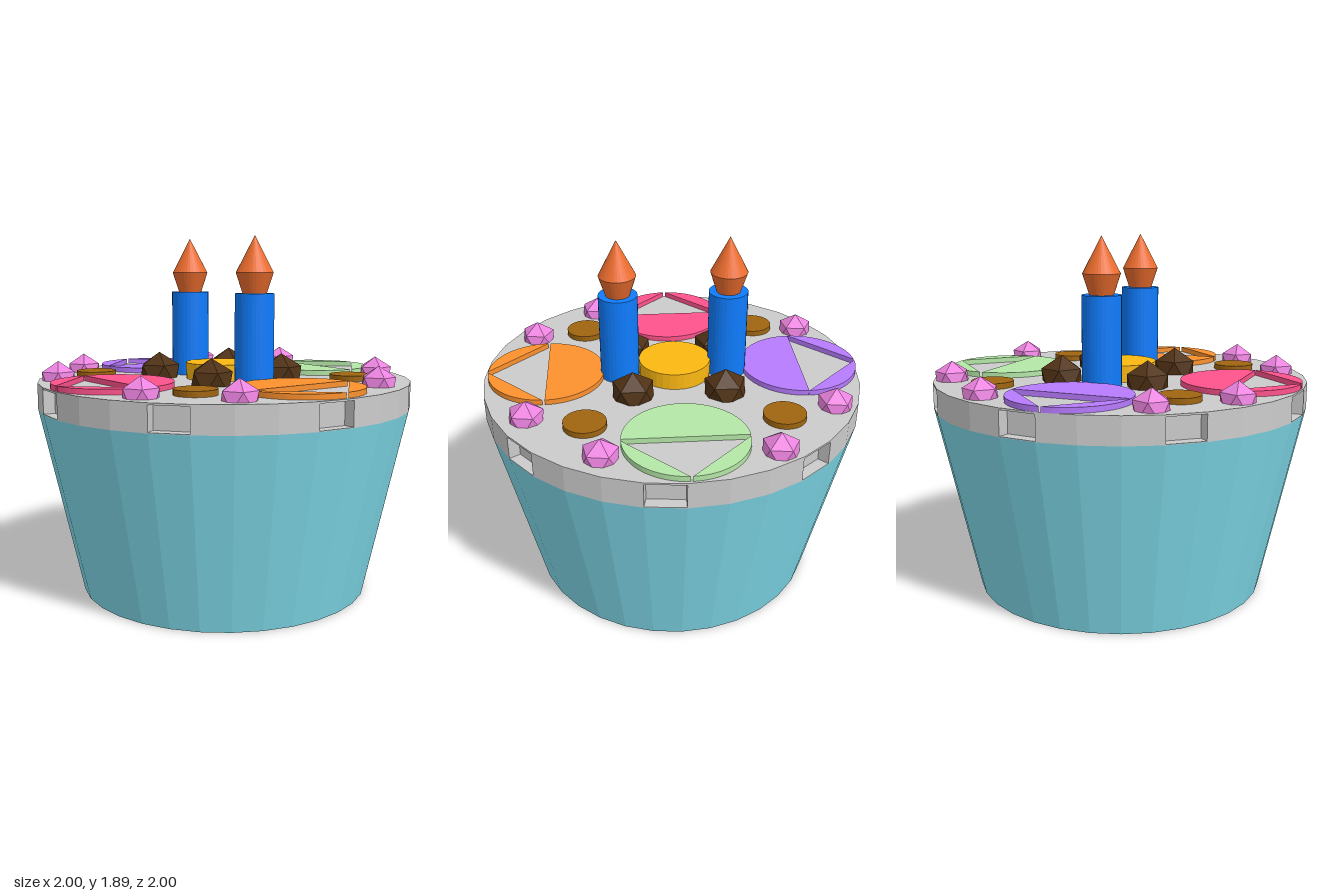
import * as THREE from 'three';

const SIDES = 32;
const TOP = 1.138; // height of the icing surface

const mat = (color) => new THREE.MeshStandardMaterial({ color, flatShading: true });

function add(parent, name, geometry, material, x = 0, y = 0, z = 0) {
  const mesh = new THREE.Mesh(geometry, material);
  mesh.name = name;
  mesh.position.set(x, y, z);
  parent.add(mesh);
  return mesh;
}

// Extrude an outline lying in the ground plane upwards
function slab(shape, height, curveSegments = 12) {
  return new THREE.ExtrudeGeometry(shape, { depth: height, bevelEnabled: false, curveSegments }).rotateX(-Math.PI / 2);
}

// 32-sided outline with eight one-segment notches around the rim
function notchedOutline(outer, inner) {
  const points = [];
  for (let i = 0; i < SIDES; i++) {
    const radii = i % 4 === 3 ? [inner, inner] : [outer, outer];
    radii.forEach((r, k) => {
      const a = ((i + k) / SIDES) * Math.PI * 2;
      // angle measured from the front (+z) towards +x, clockwise in shape space
      points.push(new THREE.Vector2(r * Math.sin(a), -r * Math.cos(a)));
    });
  }
  const unique = points.filter((p, i) => p.distanceTo(points[(i + 1) % points.length]) > 1e-6);
  return new THREE.Shape(unique);
}

// Disc cut into one half and two quarters; the spoke cut runs along +x
function slicedDisc(name, color, x, z, turn, gap) {
  const group = new THREE.Group();
  group.name = name;
  const r = 0.31, h = 0.028, spoke = 0.005;
  const material = mat(color);

  const half = new THREE.Shape();
  const a = Math.acos(-gap / r);
  half.absarc(0, 0, r, a, Math.PI * 2 - a, false);
  half.closePath();
  add(group, 'halfSlice', slab(half, h, 32), material);

  for (const s of [1, -1]) {
    const quarter = new THREE.Shape();
    const from = Math.asin(spoke / r), to = Math.acos(gap / r);
    quarter.moveTo(gap, s * spoke);
    quarter.absarc(0, 0, r, s * from, s * to, s < 0);
    quarter.closePath();
    add(group, 'quarterSlice', slab(quarter, h, 16), material);
  }
  group.position.set(x, TOP, z);
  group.rotation.y = turn;
  return group;
}

// Icosahedron standing on a vertex
function gemGeometry(radius) {
  const t = (1 + Math.sqrt(5)) / 2;
  return new THREE.IcosahedronGeometry(radius, 0).rotateX(-Math.atan(t)).rotateY(-Math.PI / 2);
}

export function createModel() {
  const model = new THREE.Group();
  model.name = 'cupcake';

  // Tapered cup
  add(model, 'cup', new THREE.CylinderGeometry(1, 0.78, 1, SIDES), mat(0x80dcec), 0, 0.5, 0);

  // Icing: thin base, notched band and thin lip
  const icing = new THREE.Group();
  icing.name = 'icing';
  model.add(icing);
  const grey = mat(0xcccccc);
  add(icing, 'icingBase', new THREE.CylinderGeometry(1, 1, 0.004, SIDES), grey, 0, 1.002, 0);
  add(icing, 'icingBand', slab(notchedOutline(1, 0.94), 0.126), grey, 0, 1.003, 0);
  add(icing, 'icingLip', new THREE.CylinderGeometry(1, 1, 0.01, SIDES), grey, 0, TOP - 0.005, 0);

  // Four large sliced discs
  model.add(
    slicedDisc('greenDisc', 0xb4e7a7, 0.675, -0.02, 0, 0.006),
    slicedDisc('orangeDisc', 0xfc912e, -0.025, 0.67, -Math.PI / 2, 0.006),
    slicedDisc('pinkDisc', 0xff538c, -0.68, -0.02, Math.PI, 0.0005),
    slicedDisc('purpleDisc', 0xb87bff, -0.025, -0.69, Math.PI / 2, 0.0005),
  );

  // Central button and small brown discs
  add(model, 'centreButton', new THREE.CylinderGeometry(0.19, 0.19, 0.09, SIDES), mat(0xfbb812), -0.01, 1.18, -0.015);
  const brown = mat(0x9f6510);
  const coin = new THREE.CylinderGeometry(0.108, 0.108, 0.035, SIDES);
  for (const [x, z] of [[-0.51, -0.51], [0.49, -0.525], [0.5, 0.46], [-0.51, 0.465]]) {
    add(model, 'smallDisc', coin, brown, x, 1.15, z);
  }

  // Pink sugar gems around the rim
  const pinkGem = gemGeometry(0.1);
  const pink = mat(0xec84e0);
  const rim = [[-0.46, -0.755], [0.395, -0.8], [-0.775, -0.44], [0.775, -0.455],
    [-0.77, 0.4], [0.77, 0.385], [-0.46, 0.74], [0.415, 0.75]];
  for (const [x, z] of rim) add(model, 'sugarGem', pinkGem, pink, x, 1.14, z).rotation.y = -0.15;

  // Dark chocolate chunks around the centre
  const chunkGem = gemGeometry(0.122);
  const chocolate = mat(0x503216);
  for (const [x, z] of [[-0.255, -0.255], [0.225, -0.26], [-0.24, 0.215], [0.225, 0.215]]) {
    add(model, 'chocolateChunk', chunkGem, chocolate, x, 1.153, z);
  }

  // Two candles with flames
  const blue = mat(0x0f7cfd);
  const fire = mat(0xec6d2e);
  const wax = new THREE.CylinderGeometry(0.102, 0.102, 0.48, SIDES);
  const flame = new THREE.LatheGeometry(
    [[0, 0], [0.062, 0], [0.097, 0.108], [0, 0.295]].map(([x, y]) => new THREE.Vector2(x, y)), SIDES);
  for (const [x, z] of [[-0.01, 0.277], [-0.02, -0.295]]) {
    add(model, 'candle', wax, blue, x, 1.36, z);
    add(model, 'flame', flame, fire, x, 1.598, z);
  }

  return model;
}
